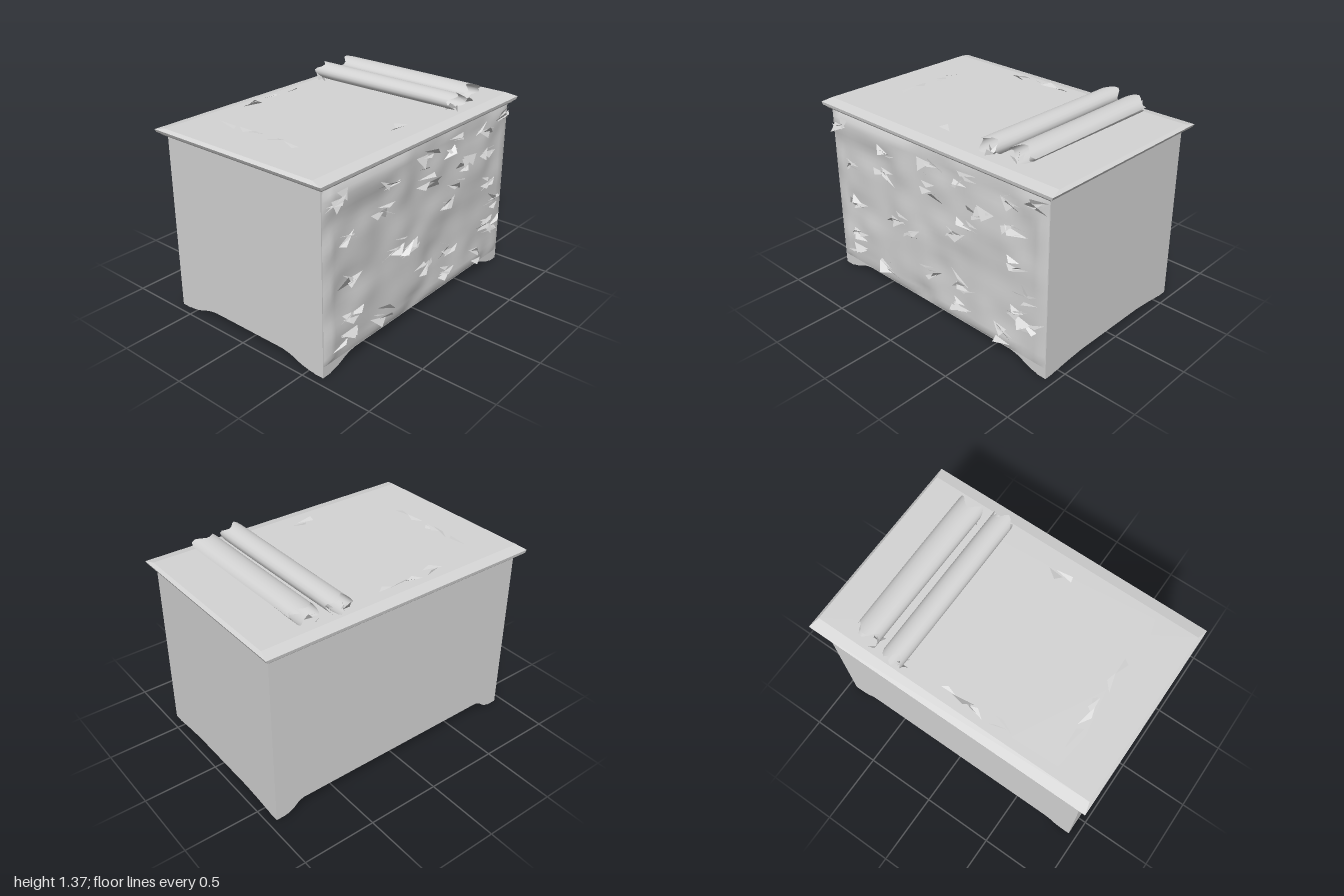
import * as THREE from 'three';
import { mergeVertices } from 'three/addons/utils/BufferGeometryUtils.js';

export function createModel() {
  const model = new THREE.Group();
  const grey = new THREE.MeshStandardMaterial({ color: 0xd4d4d4, side: THREE.DoubleSide });
  grey.name = 'plain grey';

  let seed = 7;
  const rand = () => (seed = (seed * 16807) % 2147483647) / 2147483647;
  const spread = (r) => (rand() * 2 - 1) * r;

  function add(name, geometry, x = 0, y = 0, z = 0) {
    const mesh = new THREE.Mesh(geometry, grey);
    mesh.name = name;
    mesh.position.set(x, y, z);
    model.add(mesh);
  }

  // Cabinet wall with two bracket feet and a shallow arch between them
  function wall(half, footEnd, archStart, archY) {
    const s = new THREE.Shape();
    s.moveTo(-half, 1.22);
    s.lineTo(-half, 0.015);
    s.lineTo(-footEnd, 0.02);
    const mid = (footEnd + archStart) / 2;
    s.bezierCurveTo(-mid, 0.035, -mid, archY - 0.01, -archStart, archY);
    s.lineTo(archStart, archY);
    s.bezierCurveTo(mid, archY - 0.01, mid, 0.035, footEnd, 0.02);
    s.lineTo(half, 0.015);
    s.lineTo(half, 1.22);
    return new THREE.ExtrudeGeometry(s, { depth: 0.07, bevelEnabled: false, curveSegments: 6 });
  }
  add('frontWall', wall(0.945, 0.88, 0.66, 0.085), 0, 0, 0.545);
  add('backWall', wall(0.945, 0.86, 0.74, 0.085), 0, 0, -0.63);
  for (const side of [-1, 1]) {
    const g = wall(0.622, 0.52, 0.29, side > 0 ? 0.042 : 0.077).rotateY(Math.PI / 2);
    add(side > 0 ? 'leftWall' : 'rightWall', g, side > 0 ? 0.875 : -0.945, 0, -0.008);
  }
  add('bottomPanel', new THREE.BoxGeometry(1.76, 0.03, 1.12), 0, 0.105, -0.008);

  // Moulded lid: slabs whose top and bottom outlines differ
  function slab(name, y0, y1, x0, z0, x1, z1) {
    const g = new THREE.BoxGeometry(2, y1 - y0, 2);
    const p = g.attributes.position;
    for (let i = 0; i < p.count; i++) {
      const top = p.getY(i) > 0;
      p.setX(i, p.getX(i) * (top ? x1 : x0));
      p.setZ(i, p.getZ(i) * (top ? z1 : z0));
    }
    g.computeVertexNormals();
    add(name, g, 0, (y0 + y1) / 2, -0.015);
  }
  slab('lidMoulding', 1.21, 1.23, 0.96, 0.65, 0.975, 0.665);
  slab('lidEdge', 1.23, 1.25, 0.985, 0.672, 0.995, 0.675);
  slab('lidTop', 1.25, 1.266, 0.995, 0.675, 0.975, 0.6);

  // Rumpled front face: random heights on a coarse grid, blended smoothly between
  const heights = Array.from({ length: 12 * 10 }, () => spread(0.014));
  const ease = (t) => t * t * (3 - 2 * t);
  function rumple(x, y) {
    const u = ((x + 0.95) / 1.9) * 10.9, v = (y / 1.25) * 8.9;
    const i = Math.floor(u), j = Math.floor(v), s = ease(u - i), t = ease(v - j);
    const h = (a, b) => heights[b * 12 + a];
    const low = h(i, j) * (1 - s) + h(i + 1, j) * s;
    const high = h(i, j + 1) * (1 - s) + h(i + 1, j + 1) * s;
    return 0.63 + low * (1 - t) + high * t;
  }
  const front = new THREE.PlaneGeometry(1.88, 1.12, 44, 28).translate(0, 0.65, 0);
  const fp = front.attributes.position;
  for (let i = 0; i < fp.count; i++) {
    const x = fp.getX(i), y = fp.getY(i);
    const edge = Math.abs(x) > 0.935 || Math.abs(y - 0.65) > 0.555;
    fp.setZ(i, edge ? 0.616 : rumple(x, y));
  }
  front.computeVertexNormals();
  add('rumpledFront', front);

  // Torn flakes: small loose triangles gathered round each given spot
  function flakes(name, spots, count, w, h, lift, place) {
    const pos = [];
    for (const [u, v] of spots) {
      for (let k = 0; k < count; k++) {
        const cu = u + spread(w * 0.6), cv = v + spread(h * 0.8);
        const a = [cu - w * (0.4 + rand() * 0.6), cv + spread(h), 0];
        const b = [cu + w * (0.4 + rand() * 0.6), cv + spread(h), lift * 0.2 * rand()];
        const c = [cu + spread(w * 0.5), cv + spread(h), lift * (0.4 + rand() * 0.6)];
        for (const q of [a, b, c]) pos.push(...place(...q));
      }
    }
    const g = new THREE.BufferGeometry();
    g.setAttribute('position', new THREE.Float32BufferAttribute(pos, 3));
    g.computeVertexNormals();
    add(name, g);
  }
  const frontSpots = [
    [-0.82, 1.1], [-0.4, 1.08], [0.02, 1.1], [0.3, 1.1], [0.65, 1.1], [0.84, 1.14],
    [-0.78, 0.88], [-0.42, 0.9], [0.03, 0.93], [0.32, 0.82], [0.7, 0.92], [0.2, 0.7], [0.42, 0.92],
    [-0.75, 0.58], [-0.15, 0.58], [-0.3, 0.6], [0.75, 0.72], [0.78, 0.55],
    [-0.74, 0.36], [0, 0.36], [0.26, 0.38], [0.7, 0.38], [0.82, 0.35],
    [-0.78, 0.2], [-0.42, 0.22], [0.28, 0.2], [0.62, 0.18],
  ];
  flakes('frontFlakes', frontSpots, 4, 0.09, 0.045, 0.05, (u, v, d) => [u, v, rumple(u, v) + d]);

  // Thin sheet lying on the lid
  const outline = [[-0.72, -0.55], [-0.4, -0.56], [0, -0.57], [0.62, -0.55], [0.72, -0.5], [0.74, 0.42],
    [0.6, 0.52], [0.08, 0.5], [-0.25, 0.49], [-0.5, 0.55], [-0.7, 0.54], [-0.76, 0.32], [-0.7, 0], [-0.75, -0.3]];
  const sheet = new THREE.ShapeGeometry(new THREE.Shape(outline.map(([x, z]) => new THREE.Vector2(x, -z))));
  add('lidSheet', sheet.rotateX(-Math.PI / 2), 0, 1.27, 0);

  // Curled edges of the sheet, lying low
  const sideCurls = [[-0.71, -0.3], [-0.69, -0.12], [-0.7, 0.06]];
  flakes('sideCurls', sideCurls, 2, 0.03, 0.1, 0.022, (u, v, d) => [u, 1.271 + d, v]);
  const endCurls = [[-0.35, -0.54], [-0.1, -0.54], [0, -0.56], [-0.06, 0.46]];
  flakes('endCurls', endCurls, 2, 0.08, 0.03, 0.025, (u, v, d) => [u, 1.271 + d, v]);

  // Loosely rolled sheets with ragged ends
  function roll(name, x, rx, z0, z1, phase) {
    const g = new THREE.PlaneGeometry(1, 1, 22, 8);
    const p = g.attributes.position;
    for (let i = 0; i < p.count; i++) {
      const u = p.getX(i) + 0.5, v = p.getY(i) + 0.5;
      const a = phase + u * Math.PI * 2.25;
      const r = 1 - 0.2 * u + 0.05 * Math.sin(u * 11 + v * 2);
      const rag = 0.03 * Math.sin(u * 23 + phase) * (v * 2 - 1) ** 4;
      p.setXYZ(i, Math.cos(a) * rx * r, Math.sin(a) * 0.058 * r, z0 + (z1 - z0) * v + rag);
    }
    g.deleteAttribute('normal');
    g.deleteAttribute('uv');
    const smooth = mergeVertices(g);
    smooth.computeVertexNormals();
    add(name, smooth, x, 1.328, 0);
  }
  roll('innerRoll', 0.425, 0.08, -0.58, 0.54, -0.6);
  roll('outerRoll', 0.64, 0.095, -0.54, 0.5, 0.1);
  const rollEnds = [[0.42, 0.51], [0.59, 0.48], [0.38, -0.56], [0.6, -0.54]];
  flakes('rollEndFlakes', rollEnds, 3, 0.04, 0.04, 0.07, (u, v, d) => [u, 1.272 + d, v]);

  return model;
}
